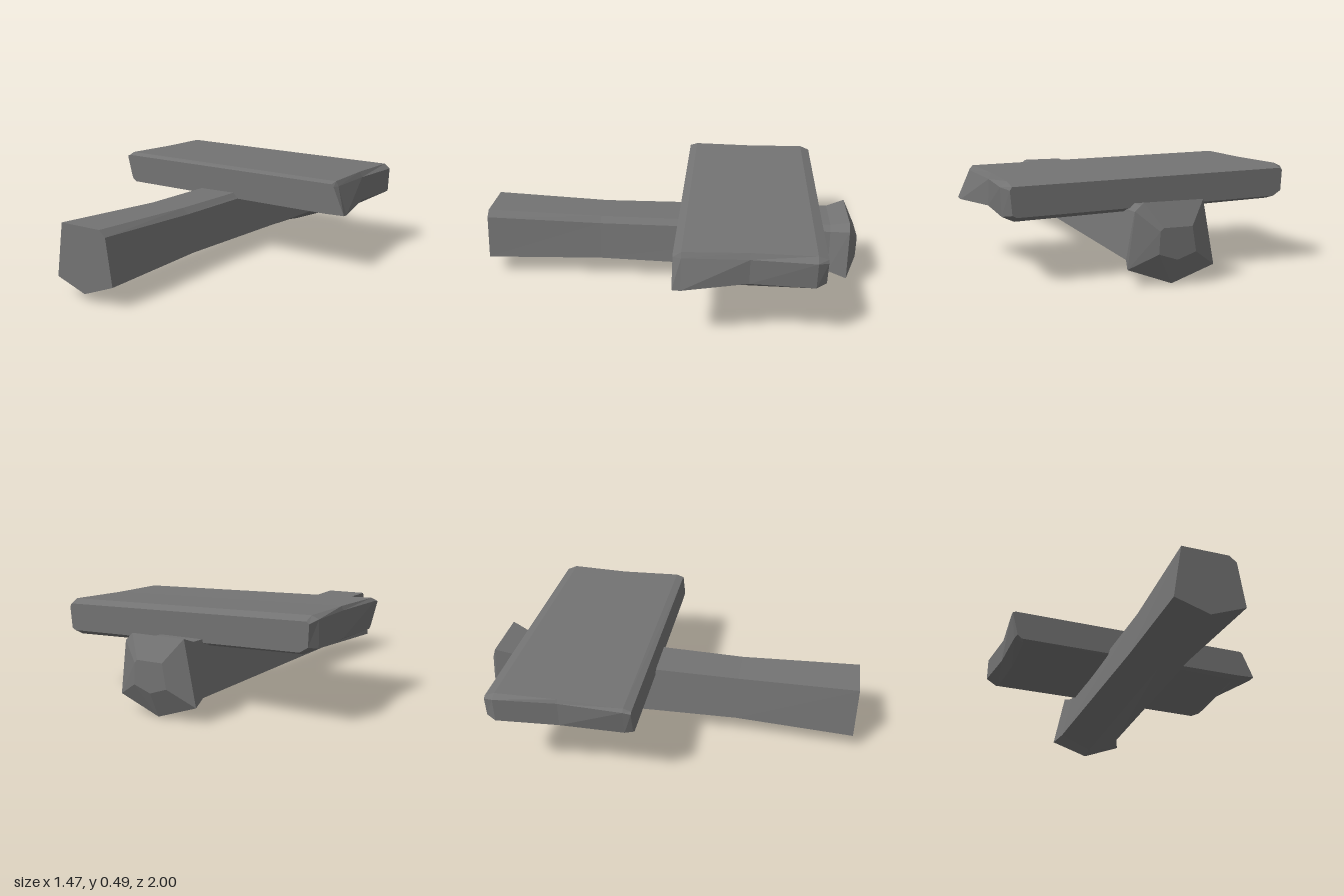
import * as THREE from 'three';

const stone = new THREE.MeshStandardMaterial({ color: 0x737373, flatShading: true });
stone.name = 'grey stone';

// Skins cross-sections ordered from front (+z) to back, each [z, x, y, x, y, ...]
// running counter-clockwise as seen from the front, and closes both ends.
function loft(name, sections) {
  const n = (sections[0].length - 1) / 2;
  const rings = sections.map(([z, ...p]) =>
    Array.from({ length: n }, (_, i) => [p[2 * i], p[2 * i + 1], z]));
  const pos = [];
  const tri = (...pts) => pts.forEach((p) => pos.push(...p));
  for (let k = 0; k < rings.length - 1; k++) {
    const a = rings[k], b = rings[k + 1];
    for (let i = 0; i < n; i++) {
      const j = (i + 1) % n;
      tri(a[i], b[i], b[j]);
      tri(a[i], b[j], a[j]);
    }
  }
  const front = rings[0], back = rings[rings.length - 1];
  for (let i = 1; i < n - 1; i++) {
    tri(front[0], front[i], front[i + 1]);
    tri(back[0], back[i + 1], back[i]);
  }
  const geometry = new THREE.BufferGeometry();
  geometry.setAttribute('position', new THREE.Float32BufferAttribute(pos, 3));
  geometry.computeVertexNormals();
  const mesh = new THREE.Mesh(geometry, stone);
  mesh.name = name;
  return mesh;
}

export function createModel() {
  const group = new THREE.Group();
  group.name = 'stoneHammer';

  // Handle: keel-shaped bar, waisted in the middle, flaring into a pommel
  group.add(loft('handle', [
    // z, keel, right low, right top, top right, top left, left low
    [1.00, -0.04, 0.035, 0.135, 0.10, 0.10, 0.325, 0.065, 0.355, -0.17, 0.355, -0.21, 0.09],
    [0.38, -0.04, 0.055, 0.115, 0.11, 0.08, 0.305, 0.05, 0.335, -0.155, 0.335, -0.195, 0.105],
    [-0.85, -0.04, 0.012, 0.14, 0.10, 0.10, 0.315, 0.07, 0.342, -0.17, 0.342, -0.22, 0.09],
    [-0.945, -0.04, 0.0, 0.175, 0.08, 0.14, 0.335, 0.10, 0.372, -0.19, 0.372, -0.25, 0.07],
    [-1.00, -0.04, 0.12, 0.05, 0.15, 0.045, 0.25, 0.03, 0.265, -0.11, 0.265, -0.13, 0.15],
  ]));

  // Head: bevelled slab, tilted a little, with hollowed ends
  group.add(loft('head', [
    // z, bottom left, bottom right, right low, right up, top right, top left, left up, left low
    [-0.06, -0.655, 0.32, 0.62, 0.298, 0.73, 0.30, 0.667, 0.442, 0.655, 0.455, -0.70, 0.477, -0.715, 0.47, -0.68, 0.34],
    [-0.10, -0.64, 0.315, 0.62, 0.288, 0.725, 0.295, 0.675, 0.44, 0.66, 0.465, -0.70, 0.49, -0.715, 0.475, -0.69, 0.335],
    [-0.42, -0.64, 0.31, 0.61, 0.272, 0.66, 0.31, 0.655, 0.435, 0.64, 0.464, -0.69, 0.489, -0.70, 0.47, -0.70, 0.34],
    [-0.73, -0.66, 0.318, 0.62, 0.285, 0.675, 0.31, 0.68, 0.44, 0.65, 0.465, -0.70, 0.49, -0.735, 0.475, -0.735, 0.35],
    [-0.78, -0.67, 0.335, 0.62, 0.31, 0.64, 0.32, 0.65, 0.43, 0.64, 0.445, -0.70, 0.47, -0.715, 0.46, -0.71, 0.36],
  ]));

  return group;
}
